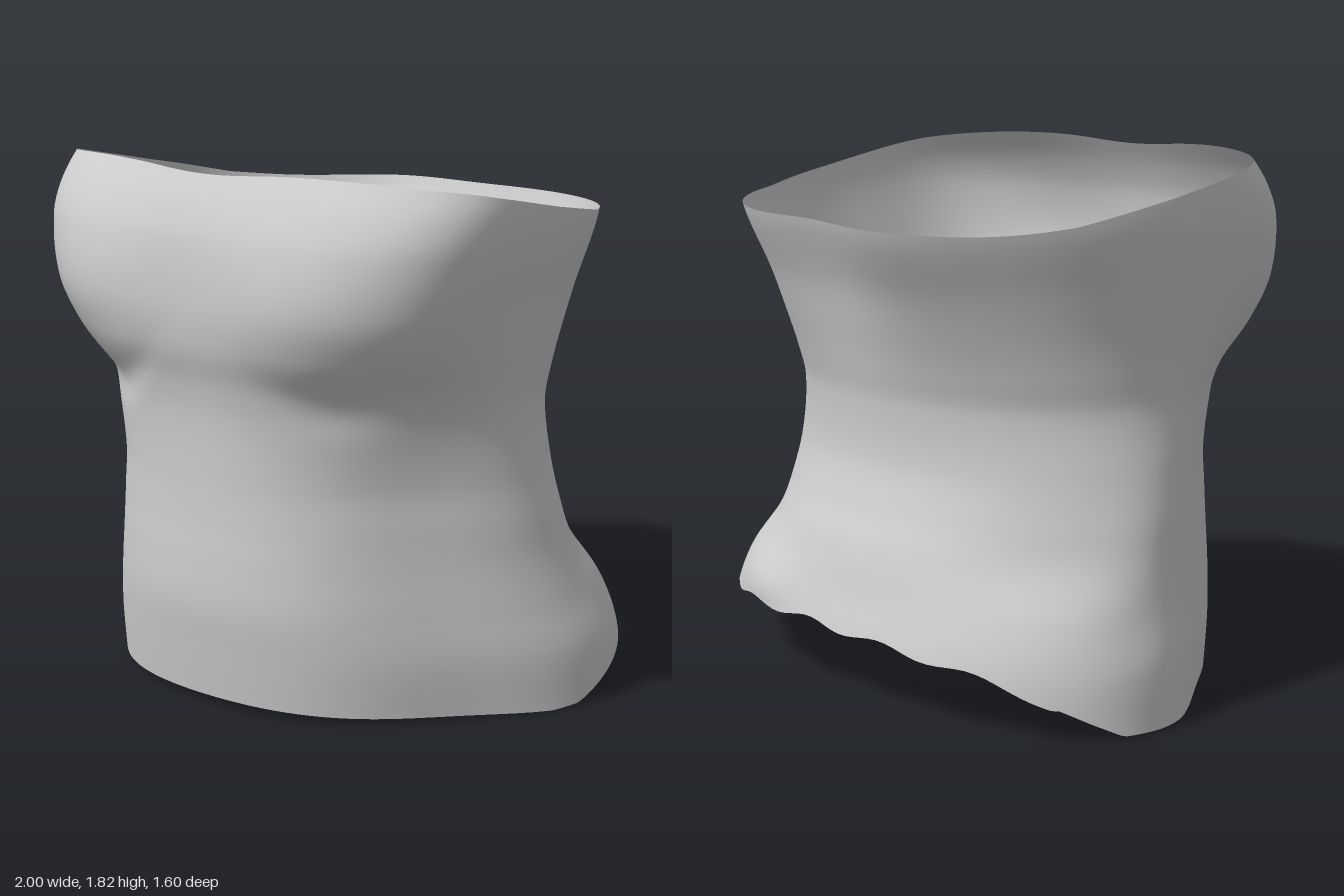
import * as THREE from 'three';

// Body sections: y, half width -x, half width +x, z of widest point, front z, back z,
// front squareness, back squareness, front corner cut, back corner cut
const SECTIONS = [
  [0.00, 1.00, 1.00, -0.20, 0.68, -0.78, 2.1, 2.2, 0.08, 0],
  [0.20, 0.975, 0.99, -0.18, 0.71, -0.77, 2.1, 2.2, 0.075, 0],
  [0.36, 0.925, 0.94, -0.13, 0.73, -0.72, 2.1, 2.15, 0.075, -0.01],
  [0.52, 0.89, 0.895, -0.08, 0.725, -0.67, 2.1, 2.1, 0.075, 0.035],
  [0.65, 0.87, 0.87, -0.04, 0.715, -0.61, 2.1, 2.1, 0.075, 0.03],
  [0.80, 0.84, 0.84, 0.00, 0.71, -0.565, 2.1, 2.1, 0.07, 0.015],
  [1.00, 0.805, 0.815, 0.05, 0.715, -0.57, 2.25, 2.1, 0.05, 0.005],
  [1.12, 0.81, 0.825, 0.07, 0.735, -0.60, 2.45, 2.15, 0.035, 0],
  [1.25, 0.825, 0.85, 0.10, 0.775, -0.64, 2.8, 2.25, 0.015, 0],
  [1.40, 0.85, 0.88, 0.12, 0.79, -0.69, 3.15, 2.35, 0, 0],
  [1.60, 0.885, 0.925, 0.15, 0.77, -0.78, 3.15, 2.45, 0, 0],
  [1.72, 0.885, 0.935, 0.15, 0.72, -0.81, 3.0, 2.45, 0, 0],
  [1.84, 0.87, 0.92, 0.15, 0.64, -0.83, 2.6, 2.45, 0, 0],
];

// Smooth (Hermite) interpolation of every section value at height y
function sectionAt(y) {
  const S = SECTIONS, last = S.length - 1;
  let k = 0;
  while (k < last - 1 && y > S[k + 1][0]) k++;
  const h = S[k + 1][0] - S[k][0];
  const u = THREE.MathUtils.clamp((y - S[k][0]) / h, 0, 1);
  const slope = (i, c) => {
    const a = S[Math.max(i - 1, 0)], b = S[Math.min(i + 1, last)];
    return (b[c] - a[c]) / (b[0] - a[0]);
  };
  return S[k].map((v, c) =>
    (2 * u ** 3 - 3 * u * u + 1) * v + (u ** 3 - 2 * u * u + u) * h * slope(k, c) +
    (3 * u * u - 2 * u ** 3) * S[k + 1][c] + (u ** 3 - u * u) * h * slope(k + 1, c));
}

const bump = (x, y, cx, cy, wx, wy) =>
  Math.exp(-(((x - cx) / wx) ** 2) - ((y - cy) / wy) ** 2);

// Point on the body at angle t (0 = +x, 90 degrees = front) and height y
function surfacePoint(t, y) {
  const [, xl, xr, zc, zf, zb, nf, nb, df, db] = sectionAt(y);
  const c = Math.cos(t), s = Math.sin(t);
  const n = s > 0 ? nf : nb, cut = s > 0 ? df : db;
  const r = (Math.abs(c) ** n + Math.abs(s) ** n) ** (-1 / n)
    * (1 - cut * 2 * c * c * Math.sin(2 * t) ** 2);
  const x = r * c * (c > 0 ? xr : xl);
  let z = zc + r * s * (s > 0 ? zf - zc : zc - zb);
  if (s > 0) {
    // bust and the curved crease below it, fading out towards the sides
    const yc = y - 1.5 * (Math.abs(x) - 0.48) ** 2;
    z += s * (0.025 * (bump(x, y, 0.5, 1.42, 0.28, 0.2) + bump(x, y, -0.45, 1.42, 0.28, 0.2))
      - 0.04 * bump(x, yc, -0.5, 1.06, 0.22, 0.07) - 0.025 * bump(x, yc, 0.55, 1.08, 0.22, 0.08)
      - 0.01 * bump(x, y, 0, 1.45, 0.2, 0.3));
  } else {
    // shoulder blade, spine and the flared lower edge
    z += s * (0.05 * bump(x, y, -0.4, 1.62, 0.25, 0.3) - 0.03 * bump(x, y, 0.08, 1.55, 0.22, 0.45)
      + 0.05 * bump(x, y, 0.45, 0.33, 0.22, 0.1));
  }
  return [x, y, z];
}

// Piecewise linear lookup in pairs sorted by falling z
function lookup(pairs, z) {
  for (let i = 1; i < pairs.length; i++) {
    const [z0, y0] = pairs[i - 1], [z1, y1] = pairs[i];
    if (z >= z1) return y0 + (y1 - y0) * THREE.MathUtils.clamp((z0 - z) / (z0 - z1), 0, 1);
  }
  return pairs[pairs.length - 1][1];
}

const TOP = [[0.65, 1.83], [0.4, 1.79], [0, 1.71], [-0.35, 1.65], [-0.8, 1.62]];
const BOTTOM_LEFT = [[0.68, 0.03], [0, 0], [-0.1, 0.01], [-0.3, 0.1], [-0.6, 0.24], [-0.8, 0.26]];
const BOTTOM_RIGHT = [[0.68, 0.03], [0, 0], [-0.3, 0.01], [-0.4, 0.06], [-0.65, 0.2], [-0.78, 0.26]];

// Top rim dips at the middle of the front and at the right of the back
const topRim = ([x, , z]) => lookup(TOP, z)
  - (z > 0.3 ? 0.025 * bump(x, 0, 0, 0, 0.3, 1) : 0.03 * bump(x, z, -0.6, -0.5, 0.35, 0.35));
function bottomRim([x, , z]) {
  const w = THREE.MathUtils.smoothstep(x, -0.3, 0.3);
  const ripple = z < -0.5 ? 0.012 * Math.sin(x * 17) : 0;
  return lookup(BOTTOM_RIGHT, z) * (1 - w) + lookup(BOTTOM_LEFT, z) * w + ripple;
}

// Height where the body meets a rim at angle t
function rimHeight(t, rim, y) {
  for (let i = 0; i < 8; i++) y = (y + rim(surfacePoint(t, y))) / 2;
  return y;
}

export function createModel() {
  const around = 160, rows = 80, positions = [], index = [];
  for (let i = 0; i < around; i++) {
    const t = (i / around) * Math.PI * 2;
    const y0 = rimHeight(t, bottomRim, 0.1), y1 = rimHeight(t, topRim, 1.7);
    for (let j = 0; j <= rows; j++) positions.push(...surfacePoint(t, y0 + (y1 - y0) * j / rows));
  }
  for (let i = 0; i < around; i++) {
    for (let j = 0; j < rows; j++) {
      const a = i * (rows + 1) + j, b = ((i + 1) % around) * (rows + 1) + j;
      index.push(a, a + 1, b, b, a + 1, b + 1);
    }
  }
  const geometry = new THREE.BufferGeometry();
  geometry.setAttribute('position', new THREE.Float32BufferAttribute(positions, 3));
  geometry.setIndex(index);
  geometry.computeVertexNormals();

  // Open torso shell
  const shell = new THREE.Mesh(geometry,
    new THREE.MeshStandardMaterial({ color: 0xcccccc, side: THREE.DoubleSide }));
  shell.name = 'torsoShell';
  const model = new THREE.Group();
  model.name = 'torso';
  model.add(shell);
  return model;
}
